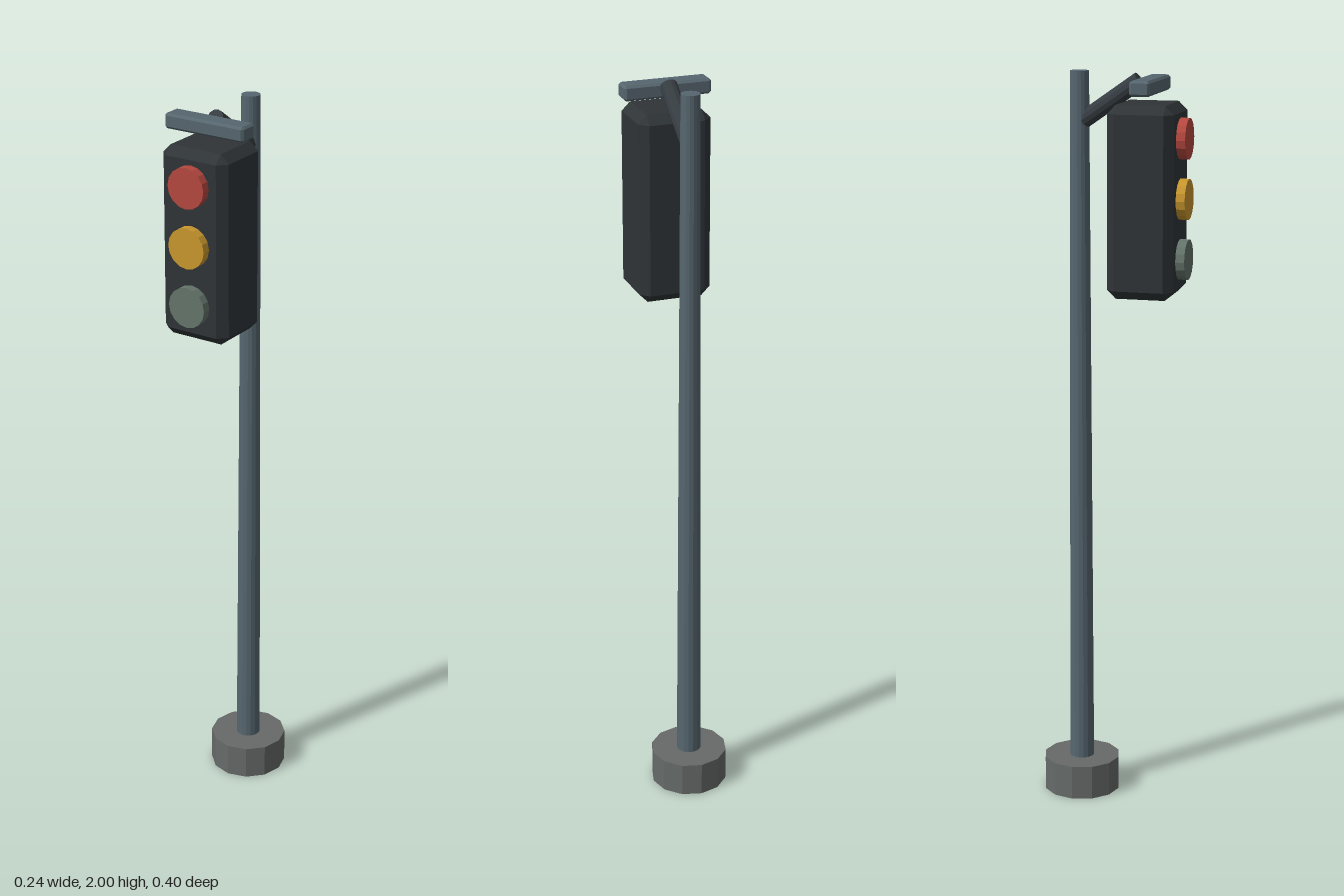
import * as THREE from 'three';
import { ConvexGeometry } from 'three/addons/geometries/ConvexGeometry.js';

const mat = (color) => new THREE.MeshStandardMaterial({ color, flatShading: true });

// Box with every edge cut by a flat chamfer c
function chamferBox(w, h, d, c) {
  const half = [w / 2, h / 2, d / 2];
  const points = [];
  for (const sx of [-1, 1]) for (const sy of [-1, 1]) for (const sz of [-1, 1]) {
    for (let full = 0; full < 3; full++) {
      const p = half.map((v, i) => (i === full ? v : v - c));
      points.push(new THREE.Vector3(sx * p[0], sy * p[1], sz * p[2]));
    }
  }
  return new ConvexGeometry(points);
}

export function createModel() {
  const group = new THREE.Group();
  const steel = mat(0x56666f);
  const dark = mat(0x2f3437);
  const poleZ = -0.096;

  function add(name, geometry, material, x, y, z) {
    const mesh = new THREE.Mesh(geometry, material);
    mesh.name = name;
    mesh.position.set(x, y, z);
    group.add(mesh);
    return mesh;
  }

  // Concrete foot and tapered pole
  add('base', new THREE.CylinderGeometry(0.106, 0.106, 0.094, 12), mat(0x666a68), 0, 0.047, poleZ);
  add('pole', new THREE.CylinderGeometry(0.025, 0.034, 1.95, 16), steel, 0, 1.025, poleZ);

  // Sloping arm from the pole to above the signal
  const from = new THREE.Vector3(0, 1.867, -0.092);
  const to = new THREE.Vector3(0, 1.978, 0.067);
  const dir = to.clone().sub(from);
  const mid = from.clone().add(to).multiplyScalar(0.5);
  const arm = add('arm', new THREE.CylinderGeometry(0.023, 0.023, dir.length(), 12), mat(0x363d42), mid.x, mid.y, mid.z);
  arm.quaternion.setFromUnitVectors(new THREE.Vector3(0, 1, 0), dir.normalize());

  // Cross bar over the housing
  add('crossBar', chamferBox(0.236, 0.04, 0.055, 0.006), steel, 0, 1.965, 0.0935);

  // Signal housing with three round lamps
  add('housing', chamferBox(0.196, 0.506, 0.178, 0.023), dark, 0, 1.667, 0.087);
  const lamps = [['redLamp', 0xb5483f, 1.83], ['amberLamp', 0xc8962e, 1.672], ['greenLamp', 0x64746a, 1.513]];
  for (const [name, color, y] of lamps) {
    const geometry = new THREE.CylinderGeometry(0.054, 0.054, 0.04, 16).rotateX(Math.PI / 2);
    add(name, geometry, mat(color), 0, y, 0.18);
  }

  return group;
}
